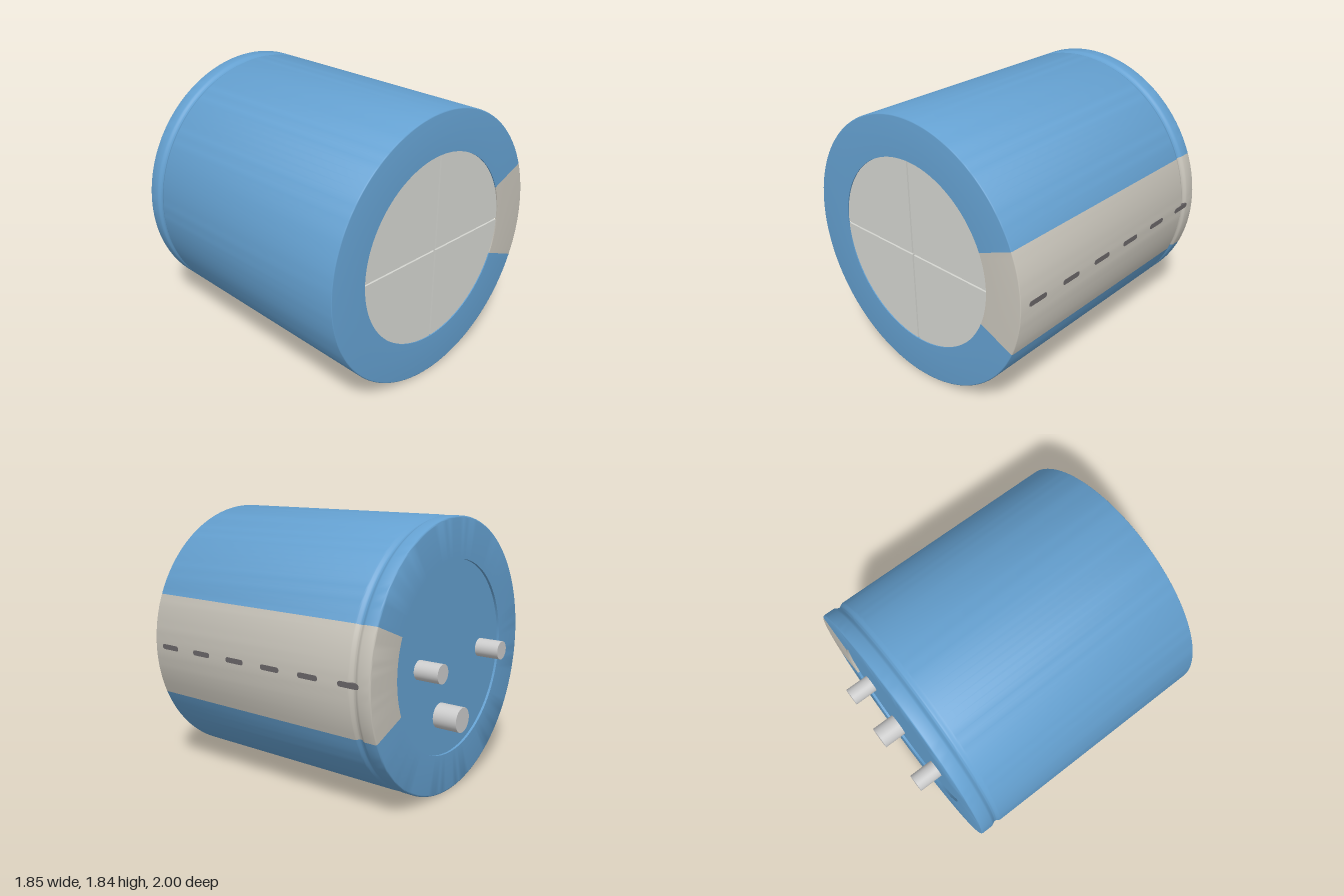
import * as THREE from 'three';
import { toCreasedNormals } from 'three/addons/utils/BufferGeometryUtils.js';

const R = 0.922, RIM = 0.648, FRONT = 1, BACK = -0.845;
const mat = (color) => new THREE.MeshStandardMaterial({ color });

export function createModel() {
  const group = new THREE.Group();
  const blue = mat(0x64a0d0), cream = mat(0xc8c4ba), dark = mat(0x686466);
  const lidGrey = mat(0xd4d5d0), pinGrey = mat(0xd8d8d4);

  const add = (name, geometry, material, x = 0, y = 0, z = 0) => {
    const mesh = new THREE.Mesh(geometry, material);
    mesh.name = name;
    mesh.position.set(x, y, z);
    group.add(mesh);
    return mesh;
  };

  // Sleeve profile: back lip, rounded edge, rolled groove, rounded edge, front lip
  const profile = [[RIM, BACK + 0.02], [RIM, BACK]];
  const c = 0.013;
  for (let i = 0; i <= 4; i++) {
    const a = (i / 4) * Math.PI / 2;
    profile.push([R - c + c * Math.sin(a), BACK + c - c * Math.cos(a)]);
  }
  for (let i = 0; i <= 12; i++) {
    const t = i / 12;
    profile.push([R - 0.008 * (1 - Math.cos(t * Math.PI * 2)), -0.762 + 0.08 * t]);
  }
  for (let i = 0; i <= 4; i++) {
    const a = (i / 4) * Math.PI / 2;
    profile.push([R - 0.008 + 0.008 * Math.cos(a), FRONT - 0.008 + 0.008 * Math.sin(a)]);
  }
  profile.push([RIM, FRONT], [RIM, FRONT - 0.012]);
  const points = profile.map(([r, z]) => new THREE.Vector2(r, z));

  // The sleeve is swept in two sectors: blue wrap and polarity stripe
  const sector = (name, startDeg, sweepDeg, segments, material) => {
    const g = new THREE.LatheGeometry(points, segments,
      THREE.MathUtils.degToRad(startDeg), THREE.MathUtils.degToRad(sweepDeg));
    g.rotateX(Math.PI / 2);
    add(name, toCreasedNormals(g, 0.7), material, 0, R, 0);
  };
  sector('sleeve', 112.5, 315, 112, blue);
  sector('polarityStripe', 67.5, 45, 16, cream);

  // Minus dashes along the stripe
  const h = 0.0175, half = 0.0775 - h;
  const dash = new THREE.Shape();
  dash.absarc(half, 0, h, -Math.PI / 2, Math.PI / 2);
  dash.absarc(-half, 0, h, Math.PI / 2, Math.PI * 1.5);
  const dashGeo = new THREE.ExtrudeGeometry(dash, { depth: 0.02, bevelEnabled: false, curveSegments: 8 });
  dashGeo.rotateY(Math.PI / 2);
  for (let i = 0; i < 6; i++) {
    add('stripeDash', dashGeo, dark, R - 0.0185, R, 0.85 - 0.3075 * i);
  }

  // Front lid: base disc with four quadrant plates leaving a cross-shaped vent
  const base = new THREE.CylinderGeometry(RIM, RIM, 0.02, 128).rotateX(Math.PI / 2);
  add('frontLidBase', base, lidGrey, 0, R, FRONT - 0.03);
  const gap = 0.007;
  const edge = Math.asin(gap / RIM);
  const quadrant = new THREE.Shape();
  quadrant.moveTo(gap, gap);
  quadrant.absarc(0, 0, RIM, edge, Math.PI / 2 - edge);
  quadrant.lineTo(gap, gap);
  const quadGeo = new THREE.ExtrudeGeometry(quadrant, { depth: 0.015, bevelEnabled: false, curveSegments: 32 });
  for (let i = 0; i < 4; i++) {
    add('ventQuadrant', quadGeo, lidGrey, 0, R, FRONT - 0.022).rotation.z = i * Math.PI / 2;
  }

  // Recessed back plate
  const plate = new THREE.CylinderGeometry(RIM, RIM, 0.02, 128).rotateX(Math.PI / 2);
  add('backPlate', plate, blue, 0, R, BACK + 0.027);

  // Terminal pins
  for (const [x, y, r] of [[-0.387, R, 0.063], [0.383, R, 0.063], [0.125, 0.562, 0.084]]) {
    const pin = new THREE.CylinderGeometry(r, r, 0.17, 32).rotateX(Math.PI / 2);
    add('terminalPin', pin, pinGrey, x, y, -0.915);
  }

  return group;
}
